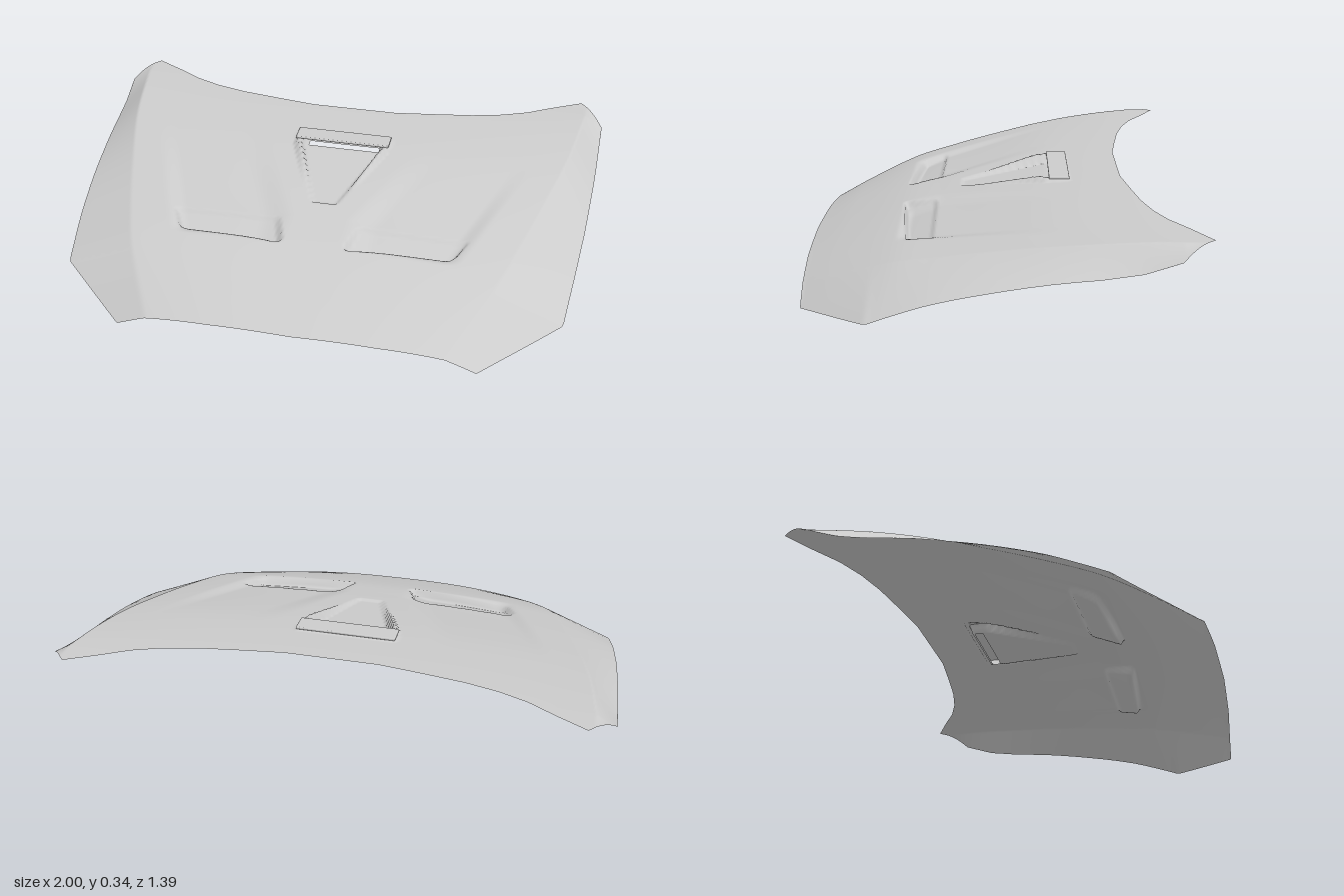
import * as THREE from 'three';
import { RoundedBoxGeometry } from 'three/addons/geometries/RoundedBoxGeometry.js';

const clamp01 = t => Math.min(1, Math.max(0, t));
const smooth = (a, b, x) => { const t = clamp01((x - a) / (b - a)); return t * t * (3 - 2 * t); };
const lerp = (a, b, t) => a + (b - a) * t;

// Interpolation through [key, value] points, straight or curved
function through(points, curved) {
  const slope = i => {
    const a = points[Math.max(0, i - 1)], b = points[Math.min(points.length - 1, i + 1)];
    return (b[1] - a[1]) / (b[0] - a[0]);
  };
  return k => {
    if (k <= points[0][0]) return points[0][1];
    for (let i = 0; i < points.length - 1; i++) {
      const [k0, v0] = points[i], [k1, v1] = points[i + 1];
      if (k > k1) continue;
      const d = k1 - k0, t = (k - k0) / d;
      if (!curved) return lerp(v0, v1, t);
      const t2 = t * t, t3 = t2 * t;
      return v0 * (2 * t3 - 3 * t2 + 1) + slope(i) * d * (t3 - 2 * t2 + t)
        + v1 * (3 * t2 - 2 * t3) + slope(i + 1) * d * (t3 - t2);
    }
    return points[points.length - 1][1];
  };
}

// Distance to a convex outline with rounded corners, negative inside
function convex(corners, radius) {
  const cx = corners.reduce((s, c) => s + c[0], 0) / corners.length;
  const cz = corners.reduce((s, c) => s + c[1], 0) / corners.length;
  const sides = corners.map((a, i) => {
    const b = corners[(i + 1) % corners.length];
    const len = Math.hypot(b[0] - a[0], b[1] - a[1]);
    let nx = (b[1] - a[1]) / len, nz = (a[0] - b[0]) / len;
    if (nx * (cx - a[0]) + nz * (cz - a[1]) > 0) { nx = -nx; nz = -nz; }
    return [nx, nz, nx * a[0] + nz * a[1]];
  });
  return (x, z) => {
    const d = sides.map(s => s[0] * x + s[1] * z - s[2] + radius).sort((p, q) => q - p);
    return (d[0] > 0 && d[1] > 0 ? Math.hypot(d[0], d[1]) : d[0]) - radius;
  };
}

// Plan outline: rear and front edge over x, side edge and shoulder over z
const rearEdge = through([[0, -0.465], [0.17, -0.465], [0.33, -0.487], [0.48, -0.51], [0.6, -0.54],
  [0.7, -0.58], [0.8, -0.64], [0.91, -0.7], [1, -0.59]]);
const frontEdge = through([[0, 0.69], [0.3, 0.682], [0.65, 0.66], [0.925, 0.41], [0.95, 0.2],
  [0.97, 0], [0.99, -0.3], [1, -0.59]]);
const sideEdge = through([[-0.59, 1], [-0.3, 0.99], [0, 0.97], [0.2, 0.95], [0.41, 0.925], [0.66, 0.65]]);
const shoulder = through([[-0.6, 0.93], [-0.3, 0.88], [0, 0.8], [0.2, 0.74], [0.4, 0.67], [0.66, 0.54]], true);

// Heights over z: centre line, drop to the shoulder, side edge
const crown = through([[-0.7, 0.345], [-0.46, 0.341], [-0.2, 0.319], [0, 0.29], [0.2, 0.252],
  [0.35, 0.217], [0.55, 0.142], [0.69, 0.08]], true);
const drop = through([[-0.6, 0.002], [-0.3, 0.014], [0, 0.026], [0.4, 0.034], [0.66, 0.038]], true);
const edge = through([[-0.7, 0.345], [-0.59, 0.3], [-0.45, 0.255], [-0.2, 0.222], [0, 0.186],
  [0.2, 0.137], [0.35, 0.083], [0.41, 0.06], [0.66, 0.005]], true);

const vent = convex([[0.15, 0.21], [0.565, 0.205], [0.515, 0.305], [0.11, 0.342]], 0.022);
const scoopOuter = convex([[-0.19, -0.28], [0.19, -0.28], [0.19, -0.2], [0.06, 0.135], [-0.06, 0.135], [-0.19, -0.2]], 0.015);
const scoopInner = convex([[-0.162, -0.262], [0.162, -0.262], [0.162, -0.19], [0.05, 0.13], [-0.05, 0.13], [-0.162, -0.19]], 0.008);

function height(px, z) {
  const x = Math.abs(px), xs = shoulder(z), base = crown(z);
  let y = base - drop(z) * Math.pow(Math.min(1, x / xs), 2.6);
  if (x > xs) y = lerp(y, edge(z), clamp01((x - xs) / (sideEdge(z) - xs)));

  // Shallow hollow behind each vent, fading towards the rear
  const outer = 0.57 + (0.22 - z) * 0.4, inner = 0.1 + Math.max(0, 0.2 - z) * 0.45;
  y -= 0.016 * smooth(-0.28, 0.2, z) * (1 - smooth(0.3, 0.34, z))
    * (1 - smooth(outer - 0.06, outer + 0.015, x)) * smooth(inner, inner + 0.12, x);

  // Vent recess, deepest at its front lip
  const dv = vent(x, z);
  if (dv < 0) y -= lerp(0.008, 0.026, clamp01((z - 0.2) / 0.13)) * smooth(0, 0.014, -dv);

  // Scoop rim rising to the rear, with a sunken ramp inside
  const so = scoopOuter(x, z);
  if (so < 0) {
    const rim = Math.max(y, Math.min(0.335, y + 0.02 * clamp01((0.04 - z) / 0.2)));
    y = lerp(y, rim, smooth(0, 0.01, -so));
    const ramp = lerp(crown(0.13) - 0.008, 0.302, clamp01((0.13 - z) / 0.33));
    y = lerp(y, ramp, smooth(0, 0.012, -scoopInner(x, z)));
  }
  return y;
}

// Curved panel as a grid between the rear and front edges
function panelGeometry() {
  const cols = 240, rows = 150, pos = [], index = [];
  for (let i = 0; i <= cols; i++) {
    const s = i / cols * 2 - 1, x = 1.25 * s - 0.25 * s ** 3;
    const z0 = rearEdge(Math.abs(x)), z1 = frontEdge(Math.abs(x));
    for (let j = 0; j <= rows; j++) {
      const z = lerp(z0, z1, j / rows);
      pos.push(x, height(x, z), z);
    }
  }
  for (let i = 0; i < cols; i++) for (let j = 0; j < rows; j++) {
    const a = i * (rows + 1) + j, b = a + rows + 1;
    // Open throat below the scoop roof
    if (Math.abs(pos[a * 3]) < 0.142 && pos[a * 3 + 2] > -0.245 && pos[a * 3 + 2] < -0.215) continue;
    index.push(a, a + 1, b, b, a + 1, b + 1);
  }
  const g = new THREE.BufferGeometry();
  g.setAttribute('position', new THREE.Float32BufferAttribute(pos, 3));
  g.setIndex(index);
  g.computeVertexNormals();
  return g;
}

export function createModel() {
  const group = new THREE.Group();
  group.name = 'hood';
  const material = new THREE.MeshStandardMaterial({ color: 0xcccccc, side: THREE.DoubleSide });

  const panel = new THREE.Mesh(panelGeometry(), material);
  panel.name = 'hoodPanel';
  group.add(panel);

  // Roof slab over the scoop throat
  const roof = new THREE.Mesh(new RoundedBoxGeometry(0.372, 0.01, 0.076, 3, 0.004), material);
  roof.name = 'scoopRoof';
  roof.position.set(0, 0.336, -0.24);
  group.add(roof);
  return group;
}
